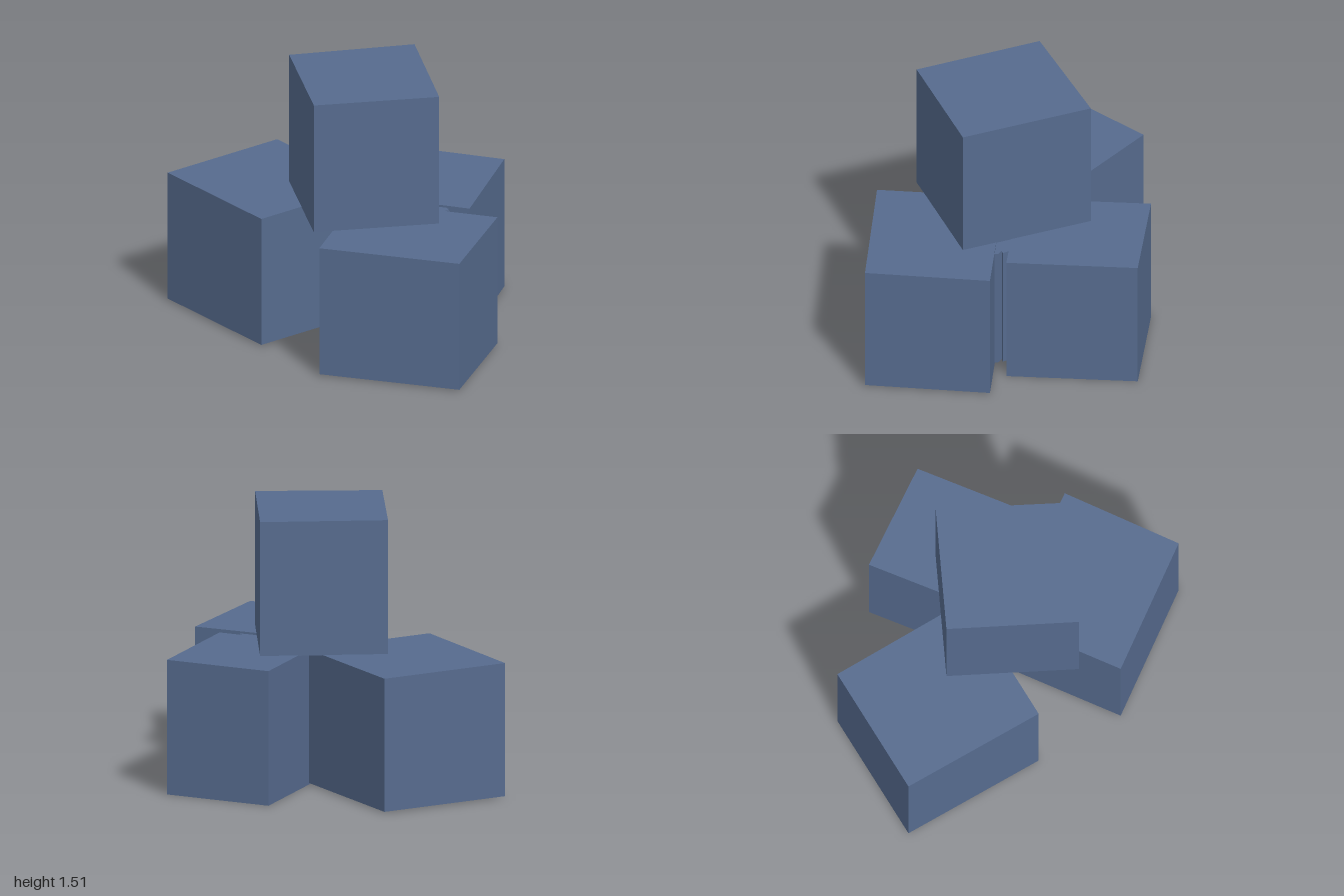
import * as THREE from 'three';

const slateBlue = new THREE.MeshStandardMaterial({ color: 0x566b8e });
slateBlue.name = 'slateBlue';

// Upright block from its [x, z] plan corners between two heights
function block(name, corners, bottom, top) {
  const shape = new THREE.Shape(corners.map(([x, z]) => new THREE.Vector2(x, -z)));
  const geometry = new THREE.ExtrudeGeometry(shape, { depth: top - bottom, bevelEnabled: false });
  geometry.rotateX(-Math.PI / 2).translate(0, bottom, 0);
  const mesh = new THREE.Mesh(geometry, slateBlue);
  mesh.name = name;
  return mesh;
}

export function createModel() {
  const model = new THREE.Group();
  model.name = 'stackedBlocks';

  // Three blocks on the ground, each turned differently
  model.add(block('rightBlock', [[-1, 0.015], [-0.17, 0.005], [-0.17, 0.777], [-1, 0.777]], 0.008, 0.757));
  model.add(block('backBlock', [[-0.01, -0.79], [0.42, -0.21], [-0.093, 0.135], [-0.525, -0.445]], 0, 0.757));
  model.add(block('leftBlock', [[0.61, -0.255], [0.997, 0.315], [0.35, 0.782], [-0.05, 0.212]], 0.008, 0.757));

  // Rough seam bridging the narrow gap between the back and left blocks
  model.add(block('roughSeam', [
    [0.06, 0.02], [0.33, -0.16], [0.315, -0.135], [0.35, -0.125],
    [0.335, -0.105], [0.375, -0.11], [0.39, -0.09], [0.06, 0.15],
  ], 0.02, 0.745));

  // Block resting on top
  model.add(block('topBlock', [[-0.185, -0.302], [0.482, 0.05], [0.153, 0.665], [-0.492, 0.33]], 0.755, 1.51));

  return model;
}
